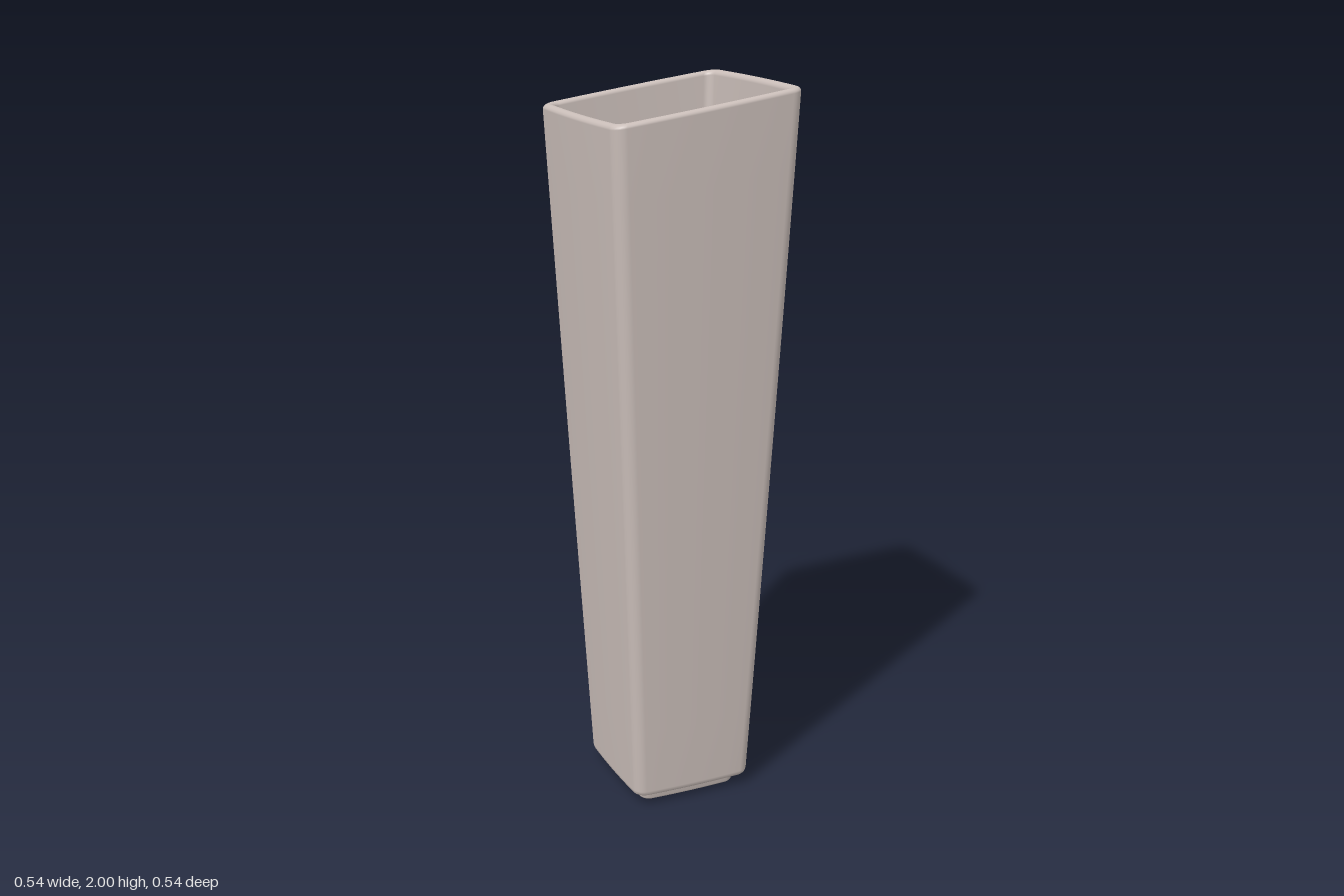
import * as THREE from 'three';

const TOP = 1.9625; // mean rim height
const SLANT = 0.14; // rim rises towards +x

// Rounded square outline with slightly bowed sides: half width h, corner radius r
function outline(h, r) {
  const pts = [];
  const arcSteps = 6, sideSteps = 8;
  for (let q = 0; q < 4; q++) {
    const c = Math.cos(q * Math.PI / 2), s = Math.sin(q * Math.PI / 2);
    const add = (x, z) => {
      const u = h ? x / h : 0, v = h ? z / h : 0;
      const bx = x * (1 - 0.03 * v * v), bz = z * (1 - 0.03 * u * u);
      pts.push([bx * c - bz * s, bx * s + bz * c]);
    };
    for (let i = 1; i < sideSteps; i++) add(h, (h - r) * (2 * i / sideSteps - 1));
    for (let i = 0; i <= arcSteps; i++) {
      const a = i / arcSteps * Math.PI / 2;
      add(h - r + r * Math.cos(a), h - r + r * Math.sin(a));
    }
  }
  return pts;
}

// Skin a list of [half width, height, corner radius] sections
function loft(sections) {
  const pos = [], idx = [];
  let n = 0;
  for (const [h, y, r] of sections) {
    const ring = outline(h, r);
    n = ring.length;
    const t = Math.max(0, (y - 0.1) / (TOP - 0.1));
    for (const [x, z] of ring) pos.push(x, y + SLANT * x * t, z);
  }
  for (let i = 0; i < sections.length - 1; i++) {
    for (let j = 0; j < n; j++) {
      const a = i * n + j, b = i * n + (j + 1) % n;
      idx.push(a, a + n, b, b, a + n, b + n);
    }
  }
  const g = new THREE.BufferGeometry();
  g.setAttribute('position', new THREE.Float32BufferAttribute(pos, 3));
  g.setIndex(idx);
  g.computeVertexNormals();
  return g;
}

export function createModel() {
  const group = new THREE.Group();
  group.name = 'vase';
  const ceramic = new THREE.MeshStandardMaterial({ color: 0xc9bdb8 });
  ceramic.name = 'warm grey ceramic';

  const addPart = (name, sections) => {
    const mesh = new THREE.Mesh(loft(sections), ceramic);
    mesh.name = name;
    group.add(mesh);
  };

  // Foot ring with a recessed underside
  addPart('foot', [
    [0, 0.02, 0], [0.112, 0.02, 0.015], [0.117, 0.018, 0.016], [0.12, 0.012, 0.018],
    [0.122, 0.004, 0.019], [0.126, 0, 0.02], [0.138, 0, 0.022], [0.144, 0.002, 0.024],
    [0.147, 0.007, 0.025], [0.15, 0.028, 0.025], [0.152, 0.034, 0.026],
  ]);

  // Outer wall, from the underside up to the rim
  const body = [[0.15, 0.032, 0.026], [0.168, 0.032, 0.028], [0.175, 0.034, 0.029],
    [0.179, 0.039, 0.03], [0.181, 0.048, 0.03]];
  for (let i = 1; i <= 10; i++) {
    const t = i / 10;
    body.push([0.181 + 0.088 * t + 0.004 * t * (1 - t), 0.048 + (TOP - 0.06) * t, 0.03 + 0.004 * t]);
  }
  // Rounded rim
  for (let i = 1; i <= 8; i++) {
    const a = i / 8 * Math.PI;
    body.push([0.2555 + 0.0135 * Math.cos(a), TOP - 0.012 + 0.012 * Math.sin(a), 0.028 + 0.006 * Math.cos(a)]);
  }
  // Inner wall and floor
  for (let i = 1; i <= 10; i++) {
    const t = i / 10;
    body.push([0.242 - 0.078 * t, TOP - 0.012 - (TOP - 0.112) * t, 0.022 - 0.002 * t]);
  }
  body.push([0.162, 0.09, 0.02], [0.157, 0.083, 0.019], [0.148, 0.08, 0.018], [0.13, 0.079, 0.015], [0, 0.079, 0]);
  addPart('body', body);

  return group;
}
